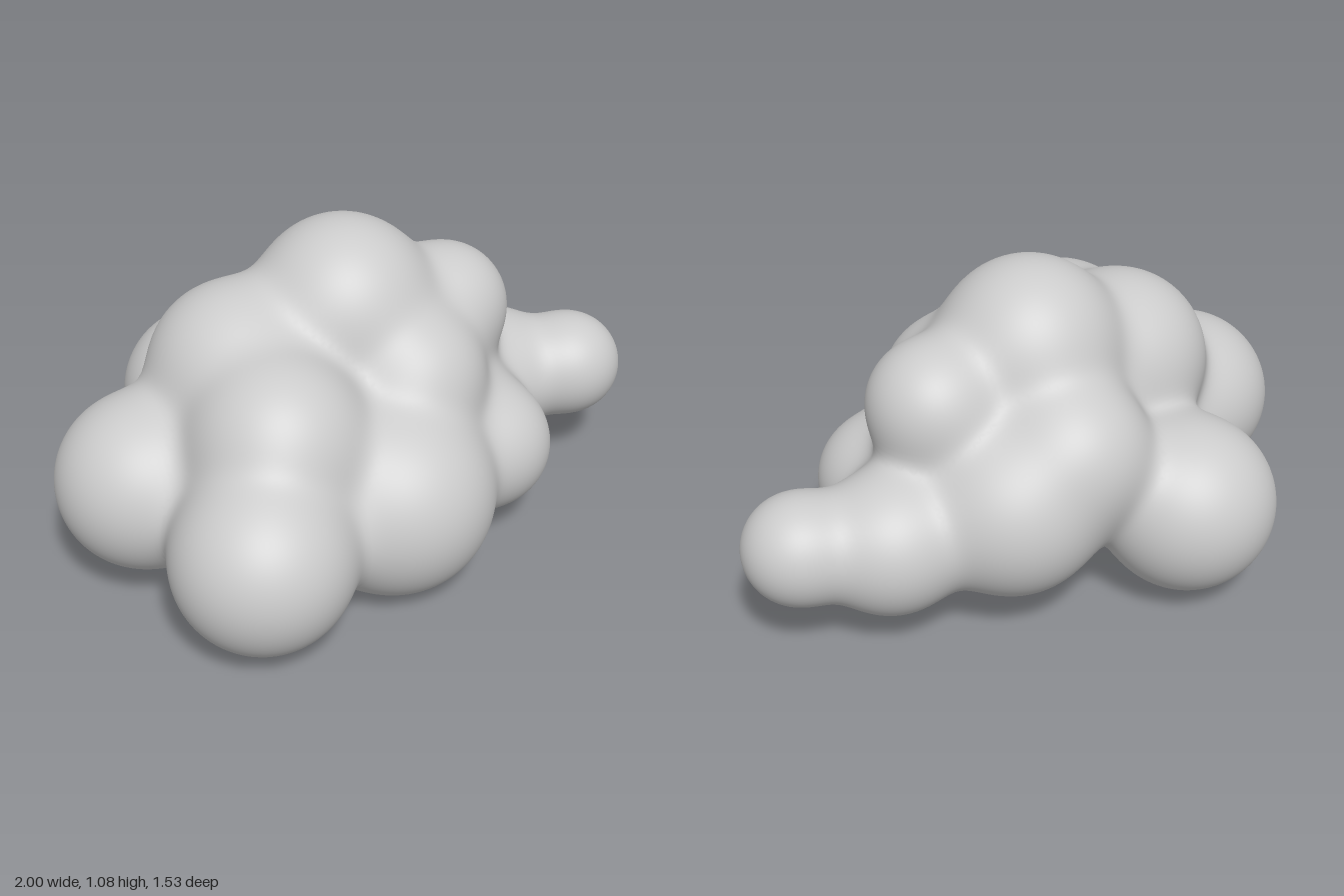
import * as THREE from 'three';

// Puffs of the cloud: x, y, z, radius
const PUFFS = [
  [0.825, 0.37, -0.055, 0.174], // tail tip
  [0.56, 0.345, -0.155, 0.225], // tail base
  [0.365, 0.32, 0.20, 0.212],   // front, left side
  [-0.03, 0.32, 0.335, 0.316],  // front middle
  [-0.53, 0.32, 0.485, 0.28],   // front, right side
  [-0.72, 0.365, -0.005, 0.28], // right end
  [-0.33, 0.325, -0.485, 0.282], // back
  [-0.38, 0.565, 0.26, 0.27],   // upper front
  [0.12, 0.61, 0.15, 0.225],    // upper front middle
  [0.02, 0.56, -0.34, 0.24],    // upper back
  [0.20, 0.41, -0.28, 0.283],   // back, left side
  [-0.02, 0.80, -0.06, 0.283],  // crown
  [-0.38, 0.65, -0.06, 0.28],   // crown, right side
  [0.34, 0.71, -0.06, 0.203],   // crown, left side
  [-0.37, 0.325, 0.12, 0.285],  // underside
  [0.27, 0.39, 0.0, 0.22],      // core
];
const BLEND = 0.043;

// Signed distance to the softly merged puffs
function field(x, y, z) {
  let sum = 0;
  for (const [cx, cy, cz, r] of PUFFS) {
    sum += Math.exp((r - Math.hypot(x - cx, y - cy, z - cz)) / BLEND);
  }
  return -BLEND * Math.log(sum + 1e-30);
}

function gradient(p) {
  const e = 0.001;
  return new THREE.Vector3(
    field(p.x + e, p.y, p.z) - field(p.x - e, p.y, p.z),
    field(p.x, p.y + e, p.z) - field(p.x, p.y - e, p.z),
    field(p.x, p.y, p.z + e) - field(p.x, p.y, p.z - e)
  ).divideScalar(2 * e);
}

// Surface net over a grid, each vertex pulled onto the merged surface
function cloudGeometry() {
  const step = 0.02;
  const min = [-1.08, -0.08, -0.86];
  const size = [109, 63, 87];
  const stride = [1, size[0], size[0] * size[1]];
  const values = new Float32Array(size[0] * size[1] * size[2]);
  const at = (i, axis) => min[axis] + i * step;
  for (let k = 0, n = 0; k < size[2]; k++)
    for (let j = 0; j < size[1]; j++)
      for (let i = 0; i < size[0]; i++) values[n++] = field(at(i, 0), at(j, 1), at(k, 2));

  const positions = [], normals = [], indices = [];
  const vertexOf = new Map();

  // One vertex per grid cell, made when a face first needs it
  function cellVertex(cell) {
    if (vertexOf.has(cell)) return vertexOf.get(cell);
    const i = cell % size[0];
    const j = Math.floor(cell / stride[1]) % size[1];
    const k = Math.floor(cell / stride[2]);
    const p = new THREE.Vector3(at(i + 0.5, 0), at(j + 0.5, 1), at(k + 0.5, 2));
    for (let s = 0; s < 4; s++) {
      const g = gradient(p);
      p.addScaledVector(g, -field(p.x, p.y, p.z) / Math.max(g.lengthSq(), 0.2));
    }
    const index = positions.length / 3;
    positions.push(p.x, p.y, p.z);
    normals.push(...gradient(p).normalize().toArray());
    vertexOf.set(cell, index);
    return index;
  }

  // One quad around every grid edge that crosses the surface
  for (let k = 1; k < size[2] - 1; k++)
    for (let j = 1; j < size[1] - 1; j++)
      for (let i = 1; i < size[0] - 1; i++) {
        const n = i + j * stride[1] + k * stride[2];
        const inside = values[n] < 0;
        for (let axis = 0; axis < 3; axis++) {
          if (inside === values[n + stride[axis]] < 0) continue;
          const b = stride[(axis + 1) % 3], c = stride[(axis + 2) % 3];
          const quad = [n, n - b, n - b - c, n - c].map(cellVertex);
          if (!inside) quad.reverse();
          const [q0, q1, q2, q3] = quad;
          indices.push(q0, q1, q2, q0, q2, q3);
        }
      }

  const geometry = new THREE.BufferGeometry();
  geometry.setAttribute('position', new THREE.Float32BufferAttribute(positions, 3));
  geometry.setAttribute('normal', new THREE.Float32BufferAttribute(normals, 3));
  geometry.setIndex(indices);
  return geometry;
}

export function createModel() {
  const group = new THREE.Group();
  group.name = 'cloud';
  const body = new THREE.Mesh(cloudGeometry(), new THREE.MeshStandardMaterial({ color: 0xcccccc }));
  body.name = 'cloudBody';
  group.add(body);
  return group;
}
